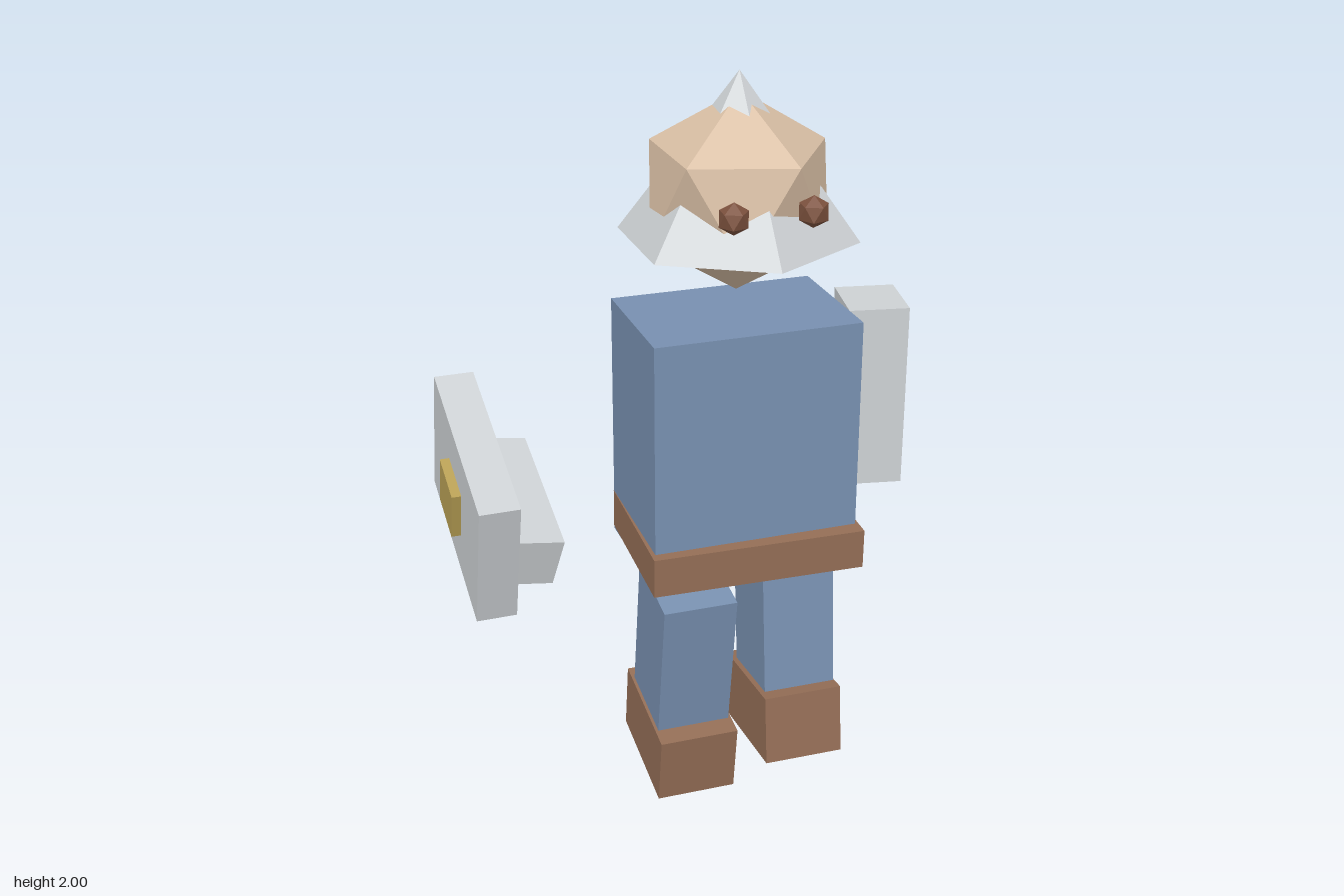
import * as THREE from 'three';

const material = (name, color) => {
  const m = new THREE.MeshStandardMaterial({ color, flatShading: true });
  m.name = name;
  return m;
};

export function createModel() {
  const cloth = material('blue cloth', 0x7890b0);
  const leather = material('brown leather', 0x946e56);
  const skin = material('skin', 0xd9bfa5);
  const grey = material('light grey', 0xcdd1d4);
  const brass = material('brass', 0xb8a055);
  const dark = material('dark brown', 0x7d523e);

  const model = new THREE.Group();
  model.name = 'figure';

  const add = (name, geometry, mat, pos, rot = [0, 0, 0]) => {
    const mesh = new THREE.Mesh(geometry, mat);
    mesh.name = name;
    mesh.position.set(...pos);
    mesh.rotation.set(...rot);
    model.add(mesh);
    return mesh;
  };
  const box = (name, size, mat, pos, rot) =>
    add(name, new THREE.BoxGeometry(...size), mat, pos, rot);

  // Icosahedron standing on one corner
  const ico = (radius, turn) =>
    new THREE.IcosahedronGeometry(radius, 0)
      .rotateZ(Math.atan(2 / (1 + Math.sqrt(5))))
      .rotateY(turn);

  // Body
  box('torso', [0.565, 0.69, 0.38], cloth, [0.088, 1.016, 0.488], [-0.022, 0.027, 0]);
  box('belt', [0.585, 0.11, 0.41], leather, [0.092, 0.73, 0.515]);

  // Legs in mid stride
  box('leftLeg', [0.208, 0.45, 0.236], cloth, [0.26, 0.405, 0.462], [-0.12, 0.02, 0]);
  box('leftBoot', [0.226, 0.2, 0.327], leather, [0.254, 0.124, 0.495], [-0.13, 0.02, 0]);
  box('rightLeg', [0.204, 0.45, 0.23], cloth, [-0.071, 0.408, 0.567], [0.14, 0.02, 0]);
  box('rightBoot', [0.22, 0.2, 0.327], leather, [-0.071, 0.124, 0.536], [0.13, 0.02, 0]);

  // Attached arm
  box('leftArm', [0.162, 0.508, 0.184], grey, [0.476, 1.099, 0.48], [-0.018, -0.16, 0]);

  // Head, with a six-sided cone passing through it
  add('head', ico(0.265, THREE.MathUtils.degToRad(39)), skin, [0.09, 1.686, 0.48]);
  add('hoodCone', new THREE.ConeGeometry(0.317, 0.43, 6), grey, [0.09, 1.785, 0.477], [-0.02, 0.027, 0]);
  for (const [name, x] of [['rightEye', -0.005], ['leftEye', 0.2]]) {
    add(name, ico(0.042, 0.6), dark, [x, 1.703, 0.73]);
  }

  // Loose arm and shield lying behind
  const tilt = [0.277, 0.027, 0];
  box('shield', [0.129, 0.457, 0.663], grey, [-0.471, 0.447, -0.411], tilt);
  box('shieldBoss', [0.05, 0.17, 0.182], brass, [-0.541, 0.447, -0.411], tilt);
  box('looseArm', [0.169, 0.179, 0.518], grey, [-0.325, 0.316, -0.5165], [0.27, 0.033, -0.185]);

  return model;
}
